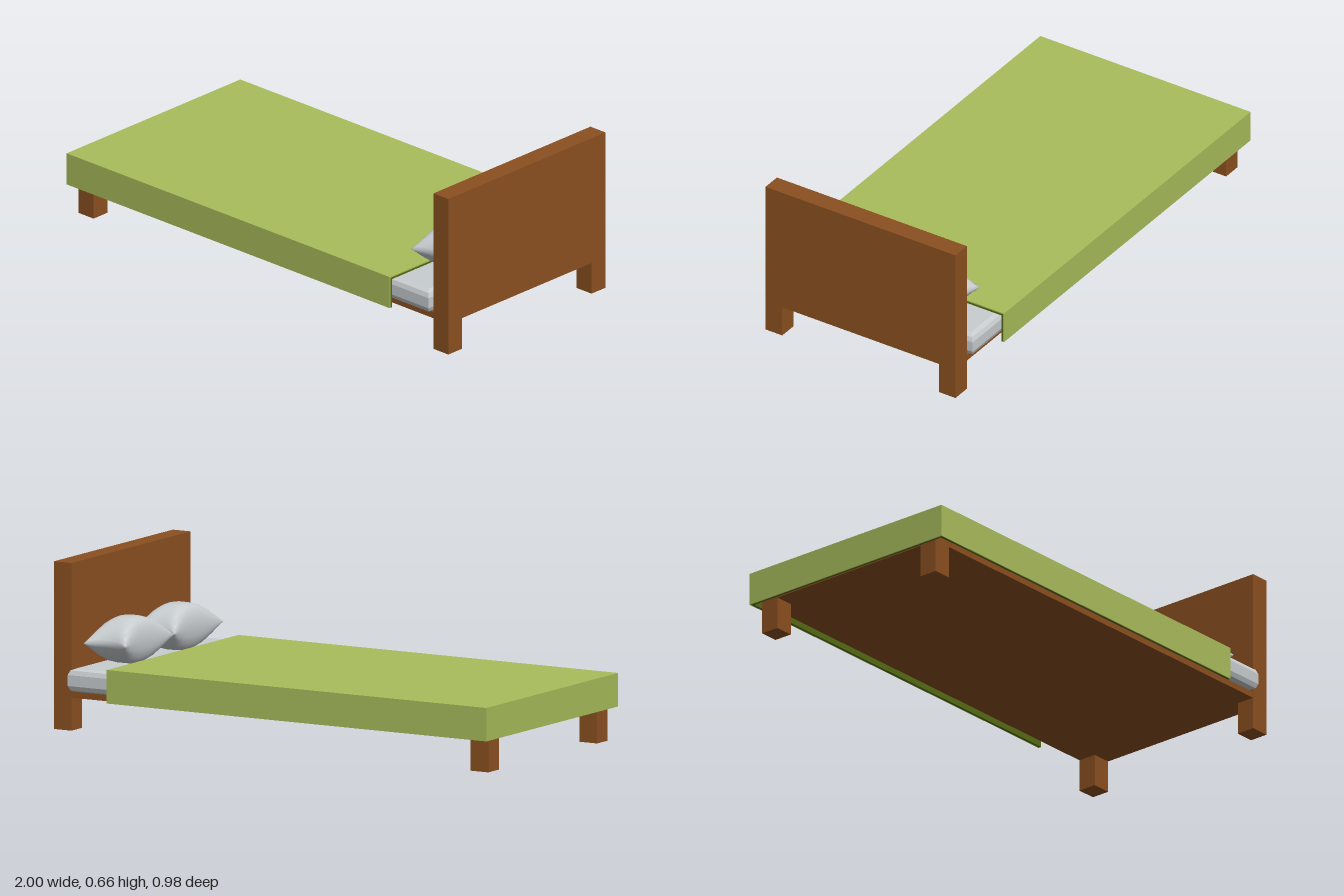
import * as THREE from 'three';
import { mergeVertices } from 'three/addons/utils/BufferGeometryUtils.js';

const mat = (name, color) => {
  const m = new THREE.MeshStandardMaterial({ color });
  m.name = name;
  return m;
};

// Pillow lying flat: two bulging sheets joined at a seam with pulled-out corners
function pillowGeometry(w, h, d) {
  const n = 12, pos = [], idx = [];
  for (const side of [1, -1]) {
    const base = pos.length / 3;
    for (let i = 0; i <= n; i++) {
      for (let j = 0; j <= n; j++) {
        const u = Math.sin((i / n - 0.5) * Math.PI), v = Math.sin((j / n - 0.5) * Math.PI);
        const x = (w / 2) * u * (1 - 0.17 * (1 - v * v));
        const z = (d / 2) * v * (1 - 0.14 * (1 - u * u));
        const bulge = Math.sqrt(Math.max(0, 1 - u ** 4)) * Math.max(0, 1 - Math.abs(v) ** 2.3) ** 0.7;
        pos.push(x, side * (h / 2) * bulge, z);
      }
    }
    for (let i = 0; i < n; i++) {
      for (let j = 0; j < n; j++) {
        const a = base + i * (n + 1) + j, b = a + 1, c = a + n + 1, e = c + 1;
        if (side > 0) idx.push(a, b, c, b, e, c);
        else idx.push(a, c, b, b, c, e);
      }
    }
  }
  const g = new THREE.BufferGeometry();
  g.setAttribute('position', new THREE.Float32BufferAttribute(pos, 3));
  g.setIndex(idx);
  const merged = mergeVertices(g, 1e-5);
  merged.computeVertexNormals();
  return merged;
}

// Mattress with chamfered edges all round
function mattressGeometry(x0, x1, halfZ, y0, y1) {
  const b = 0.025;
  const s = new THREE.Shape();
  s.moveTo(x0 + b, -halfZ + b);
  s.lineTo(x1 - b, -halfZ + b);
  s.lineTo(x1 - b, halfZ - b);
  s.lineTo(x0 + b, halfZ - b);
  s.closePath();
  const g = new THREE.ExtrudeGeometry(s, {
    depth: y1 - y0 - 2 * b, bevelEnabled: true, bevelThickness: b, bevelSize: b, bevelSegments: 2,
  });
  g.rotateX(-Math.PI / 2);
  g.translate(0, y0 + b, 0);
  return g;
}

export function createModel() {
  const model = new THREE.Group();
  model.name = 'bed';
  const wood = mat('wood', 0x8b5020);
  const green = mat('blanketGreen', 0xa9bd5b);
  const olive = mat('liningOlive', 0x566a12);
  const linen = mat('linen', 0xc8cdd0);

  const add = (name, geometry, material, parent = model) => {
    const m = new THREE.Mesh(geometry, material);
    m.name = name;
    parent.add(m);
    return m;
  };
  // Box given by its minimum and maximum corners
  const box = (name, material, x0, x1, y0, y1, z0, z1, parent) => {
    const g = new THREE.BoxGeometry(x1 - x0, y1 - y0, z1 - z0);
    g.translate((x0 + x1) / 2, (y0 + y1) / 2, (z0 + z1) / 2);
    return add(name, g, material, parent);
  };

  // Wooden frame
  const frame = new THREE.Group();
  frame.name = 'frame';
  model.add(frame);
  box('baseBoard', wood, -0.98, 0.92, 0.13, 0.155, -0.443, 0.443, frame);
  box('headboard', wood, 0.92, 1, 0.13, 0.66, -0.443, 0.443, frame);
  for (const s of [-1, 1]) {
    const z0 = s > 0 ? 0.365 : -0.443, z1 = s > 0 ? 0.443 : -0.365;
    box('footLeg', wood, -0.98, -0.9, 0, 0.13, z0, z1, frame);
    box('headLeg', wood, 0.92, 1, 0, 0.13, z0, z1, frame);
  }

  add('mattress', mattressGeometry(-0.98, 0.92, 0.47, 0.155, 0.248), linen);

  // Blanket: thin green cover over a darker lining, open below and at the head
  const blanket = new THREE.Group();
  blanket.name = 'blanket';
  model.add(blanket);
  const shell = (name, m, x0, top, half, t) => {
    box(name + 'Top', m, x0, 0.73, top - t, top, -half, half, blanket);
    box(name + 'Foot', m, x0, x0 + t, 0.13, top - t, -half, half, blanket);
    for (const s of [-1, 1]) {
      const a = s * half, b = s * (half - t);
      box(name + 'Side', m, x0 + t, 0.73, 0.13, top - t, Math.min(a, b), Math.max(a, b), blanket);
    }
  };
  shell('cover', green, -1, 0.262, 0.49, 0.005);
  shell('lining', olive, -0.995, 0.257, 0.485, 0.008);

  // Two pillows side by side
  const pillow = pillowGeometry(0.19, 0.185, 0.365);
  for (const s of [-1, 1]) {
    add('pillow', pillow, linen).position.set(0.813, 0.335, s * 0.183 - 0.007);
  }
  return model;
}
